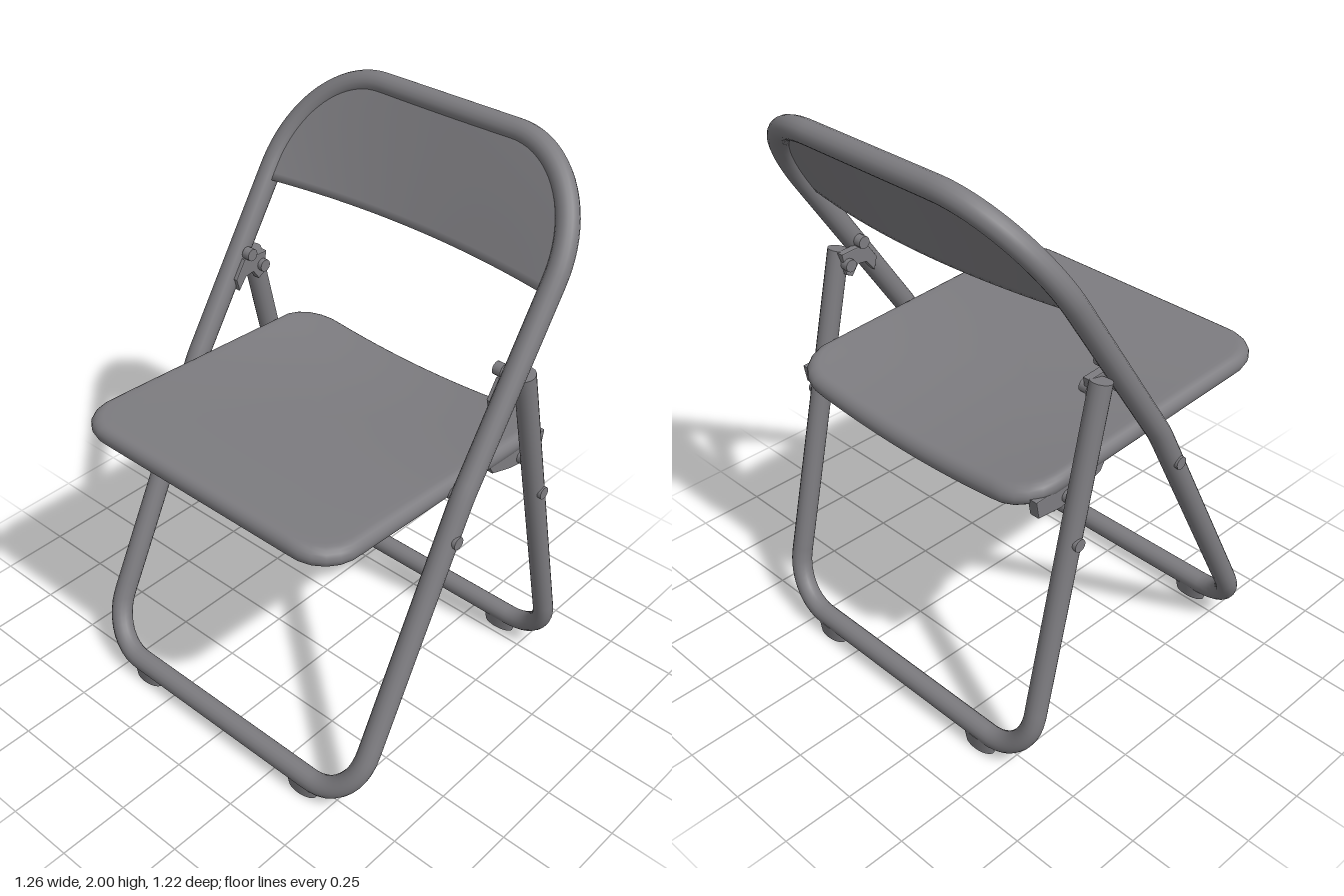
import * as THREE from 'three';

const R = 0.038;          // tube radius
const HX = 0.588;         // half width of the tube centre lines

// Lean of the front frame, with a slight bend at seat height
const frameZ = (y) => (y < 1.05 ? 0.54 - 0.515 * (y - 0.065) : 0.033 - 0.662 * (y - 1.05));
// Lean of the rear legs
const rearZ = (y) => -0.548 + 0.23 * (y - 0.065);

// Indexed surface from rows of points
function gridGeometry(rows, closed) {
  const n = rows[0].length, pos = rows.flat(2), idx = [];
  for (let k = 0; k < rows.length - 1; k++) {
    for (let i = 0; i < (closed ? n : n - 1); i++) {
      const j = (i + 1) % n;
      const a = k * n + i, b = k * n + j, c = a + n, d = b + n;
      idx.push(a, c, d, a, d, b);
    }
  }
  const g = new THREE.BufferGeometry();
  g.setAttribute('position', new THREE.Float32BufferAttribute(pos, 3));
  g.setIndex(idx);
  g.computeVertexNormals();
  return g;
}

export function createModel() {
  const model = new THREE.Group();
  const metal = new THREE.MeshStandardMaterial({ color: 0x7d7c80 });
  const sheet = metal.clone();
  sheet.side = THREE.DoubleSide;

  const add = (name, geometry, x = 0, y = 0, z = 0, material = metal) => {
    const m = new THREE.Mesh(geometry, material);
    m.name = name;
    m.position.set(x, y, z);
    model.add(m);
    return m;
  };

  // Front frame: one closed tube loop
  const top = 1.962, low = 0.068, rt = 0.32, rb = 0.17;
  const loop = new THREE.Shape();
  loop.moveTo(0, low);
  loop.lineTo(HX - rb, low);
  loop.absarc(HX - rb, low + rb, rb, -Math.PI / 2, 0);
  loop.lineTo(HX, top - rt);
  loop.absarc(HX - rt, top - rt, rt, 0, Math.PI / 2);
  loop.lineTo(-HX + rt, top);
  loop.absarc(-HX + rt, top - rt, rt, Math.PI / 2, Math.PI);
  loop.lineTo(-HX, low + rb);
  loop.absarc(-HX + rb, low + rb, rb, Math.PI, Math.PI * 1.5);
  loop.lineTo(0, low);
  const loopPts = loop.getSpacedPoints(140).slice(0, -1)
    .map((p) => new THREE.Vector3(p.x, p.y, frameZ(p.y)));
  add('frontFrame', new THREE.TubeGeometry(
    new THREE.CatmullRomCurve3(loopPts, true), 220, R, 16, true));

  // Rear legs: open U-shaped tube with capped ends
  const rearTop = 1.36;
  const u = new THREE.Path();
  u.moveTo(-HX, rearTop);
  u.lineTo(-HX, low + rb);
  u.absarc(-HX + rb, low + rb, rb, Math.PI, Math.PI * 1.5);
  u.lineTo(HX - rb, low);
  u.absarc(HX - rb, low + rb, rb, -Math.PI / 2, 0);
  u.lineTo(HX, rearTop);
  const uPts = u.getSpacedPoints(90).map((p) => new THREE.Vector3(p.x, p.y, rearZ(p.y)));
  add('rearLegs', new THREE.TubeGeometry(
    new THREE.CatmullRomCurve3(uPts), 150, R * 0.95, 16, false));
  for (const s of [-1, 1]) {
    const cap = add('rearLegCap', new THREE.CylinderGeometry(R * 0.95, R * 0.95, 0.012, 16),
      s * HX, rearTop, rearZ(rearTop));
    cap.rotation.x = Math.atan(0.23);
  }

  // Backrest: curved sheet between the tubes, bowed backwards at its lower edge
  const backPoint = (uu, v, back) => {
    const y = 1.615 + v * (1.968 - 1.615);
    const dy = Math.max(0, y - (top - rt));
    const half = HX - rt + Math.sqrt(Math.max(0, rt * rt - dy * dy));
    const z = frameZ(y) + 0.026 - 0.06 * (1 - uu * uu) * (1 - v) - (back ? 0.026 : 0);
    return [uu * half, y, z];
  };
  const backRows = [];
  const addRow = (v, back) => backRows.push(
    Array.from({ length: 33 }, (_, i) => backPoint(i / 16 - 1, v, back)));
  for (let k = 0; k <= 16; k++) addRow(1 - k / 16, false);
  for (let k = 0; k <= 16; k++) addRow(k / 16, true);
  add('backrest', gridGeometry(backRows, false), 0, 0, 0, sheet);

  // Seat: concentric rings of a rounded outline, dished towards the rear
  const sx = 0.552, zf = 0.61, zb = -0.508, rc = 0.13;
  const cz = (zf + zb) / 2, sz = (zf - zb) / 2;
  const outline = new THREE.Shape();
  outline.moveTo(sx, 0);
  outline.lineTo(sx, sz - rc);
  outline.absarc(sx - rc, sz - rc, rc, 0, Math.PI / 2);
  outline.lineTo(-sx + rc, sz);
  outline.absarc(-sx + rc, sz - rc, rc, Math.PI / 2, Math.PI);
  outline.lineTo(-sx, -sz + rc);
  outline.absarc(-sx + rc, -sz + rc, rc, Math.PI, Math.PI * 1.5);
  outline.lineTo(sx - rc, -sz);
  outline.absarc(sx - rc, -sz + rc, rc, -Math.PI / 2, 0);
  outline.lineTo(sx, 0);
  const ring = outline.getSpacedPoints(96).slice(0, -1);
  const seatMid = (x, z) => {
    const rear = THREE.MathUtils.smoothstep(-z, -0.4, 0.5);
    const lip = Math.max(0, -0.38 - z);
    return 1.06 + 0.05 * z - 0.042 * rear * (1 - (x / sx) ** 2) - 0.08 * lip;
  };
  const profile = [];
  for (const s of [0.001, 0.2, 0.4, 0.6, 0.78, 0.9]) profile.push([s, 0.036]);
  for (let k = 0; k <= 10; k++) {
    const a = Math.PI / 2 - (k / 10) * Math.PI;
    profile.push([0.94 + 0.06 * Math.cos(a), 0.036 * Math.sin(a)]);
  }
  for (const s of [0.9, 0.78, 0.6, 0.4, 0.2, 0.001]) profile.push([s, -0.036]);
  const seatRows = profile.map(([s, h]) => ring.map((p) => {
    const x = p.x * s, z = cz - p.y * s;
    return [x, seatMid(x, z) + h, z];
  }));
  add('seat', gridGeometry(seatRows, true));

  // Side plates are drawn in (z, y) and extruded along x
  const plate = (pts, t) => {
    const shape = new THREE.Shape(pts.map(([z, y]) => new THREE.Vector2(-z, y)));
    const g = new THREE.ExtrudeGeometry(shape, {
      depth: t, bevelEnabled: true, bevelSize: 0.004, bevelThickness: 0.004, bevelSegments: 2 });
    return g.translate(0, 0, -t / 2).rotateY(Math.PI / 2);
  };
  const hinge = plate([[-0.13, 1.31], [-0.17, 1.37], [-0.27, 1.365], [-0.255, 1.29],
    [-0.235, 1.28], [-0.21, 1.315], [-0.17, 1.31], [-0.14, 1.27]], 0.02);
  const bracket = plate([[-0.17, 1.03], [-0.46, 1.02], [-0.45, 0.965],
    [-0.36, 0.955], [-0.28, 0.97], [-0.19, 1.0]], 0.03);
  const rivet = new THREE.CylinderGeometry(0.022, 0.022, 0.03, 14).rotateZ(Math.PI / 2);
  const foot = new THREE.CylinderGeometry(0.072, 0.06, 0.055, 24).scale(1, 1, 0.45);

  for (const s of [-1, 1]) {
    add('hingePlate', hinge, s * 0.552, 0, 0);
    add('hingeRivet', rivet, s * 0.536, 1.39, -0.19);
    add('hingeRivet', rivet, s * 0.536, 1.325, -0.25);
    add('seatBracket', bracket, s * 0.525, 0, 0);
    add('bracketRivet', rivet, s * 0.545, 0.985, -0.335);
    add('seatPivot', rivet, s * 0.56, 1.05, 0.033);
    add('frameRivet', rivet, s * 0.617, 0.93, frameZ(0.93));
    add('legRivet', rivet, s * 0.615, 0.86, rearZ(0.86));
    // Feet under both bottom rails
    add('frontFoot', foot, s * 0.38, 0.0275, 0.538);
    add('rearFoot', foot, s * 0.38, 0.0275, -0.55);
  }
  return model;
}
